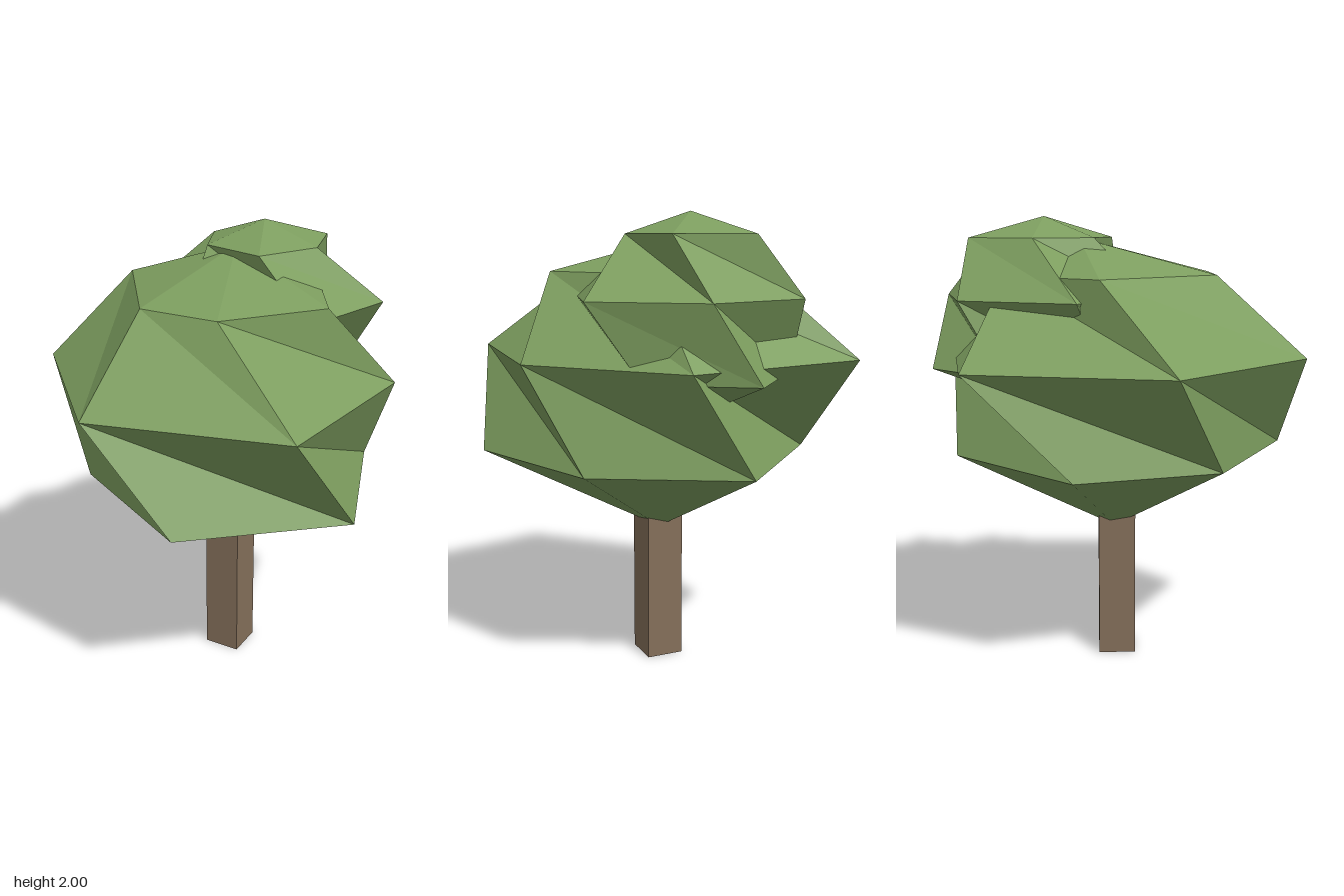
import * as THREE from 'three';

// Faceted blob: bottom pole, stacked six-point rings [y, [x, z]...] from low to high, top pole.
function facetedBlob(bottom, rings, top) {
  const positions = [];
  const tri = (...corners) => corners.forEach((c) => positions.push(...c));
  const loops = rings.map(([y, ...points]) => points.map(([x, z]) => [x, y, z]));
  const first = loops[0];
  const last = loops[loops.length - 1];
  const n = first.length;
  for (let i = 0; i < n; i++) {
    const j = (i + 1) % n;
    tri(first[i], first[j], bottom);
    for (let r = 0; r < loops.length - 1; r++) {
      const low = loops[r];
      const high = loops[r + 1];
      tri(low[i], high[j], low[j]);
      tri(low[i], high[i], high[j]);
    }
    tri(last[j], last[i], top);
  }
  const geometry = new THREE.BufferGeometry();
  geometry.setAttribute('position', new THREE.Float32BufferAttribute(positions, 3));
  geometry.computeVertexNormals();
  return geometry;
}

export function createModel() {
  const tree = new THREE.Group();
  tree.name = 'tree';

  const leafGreen = new THREE.MeshStandardMaterial({ color: 0x7d9e5f, flatShading: true });
  leafGreen.name = 'leafGreen';
  const barkBrown = new THREE.MeshStandardMaterial({ color: 0x846f5a, flatShading: true });
  barkBrown.name = 'barkBrown';

  const add = (name, geometry, material) => {
    const mesh = new THREE.Mesh(geometry, material);
    mesh.name = name;
    tree.add(mesh);
    return mesh;
  };

  // Square trunk, turned a little about its axis
  const trunk = add('trunk', new THREE.BoxGeometry(0.166, 0.75, 0.166), barkBrown);
  trunk.position.set(0.038, 0.375, 0.017);
  trunk.rotation.y = -Math.atan2(0.08, 0.145);
  trunk.rotation.y *= -1;

  // Large main crown
  add('mainCrown', facetedBlob([0.045, 0.6, 0.01], [
    [0.96, [0.62, 0.26], [0.135, 0.79], [-0.56, 0.53], [-0.565, -0.19], [-0.1, -0.63], [0.61, -0.42]],
    [1.4, [0.54, 0.52], [-0.2, 0.84], [-0.78, 0.22], [-0.54, -0.59], [0.28, -0.84], [0.78, -0.18]],
    [1.755, [0.22, 0.455], [-0.25, 0.37], [-0.42, 0.06], [-0.16, -0.51], [0.33, -0.43], [0.5, 0]],
  ], [0.15, 1.91, -0.12]), leafGreen);

  // Smaller crown, sunk into the upper left of the main one
  add('smallCrown', facetedBlob([0.31, 1.15, -0.14], [
    [1.345, [0.68, 0.02], [0.36, 0.28], [-0.02, 0.08], [-0.08, -0.32], [0.27, -0.55], [0.71, -0.44]],
    [1.66, [0.69, 0.24], [0.2, 0.355], [-0.15, -0.05], [-0.07, -0.53], [0.45, -0.6], [0.75, -0.25]],
    [1.91, [0.41, 0.115], [0.11, 0.115], [0.04, -0.18], [0.21, -0.4], [0.52, -0.41], [0.62, -0.09]],
  ], [0.31, 2, -0.14]), leafGreen);

  return tree;
}
